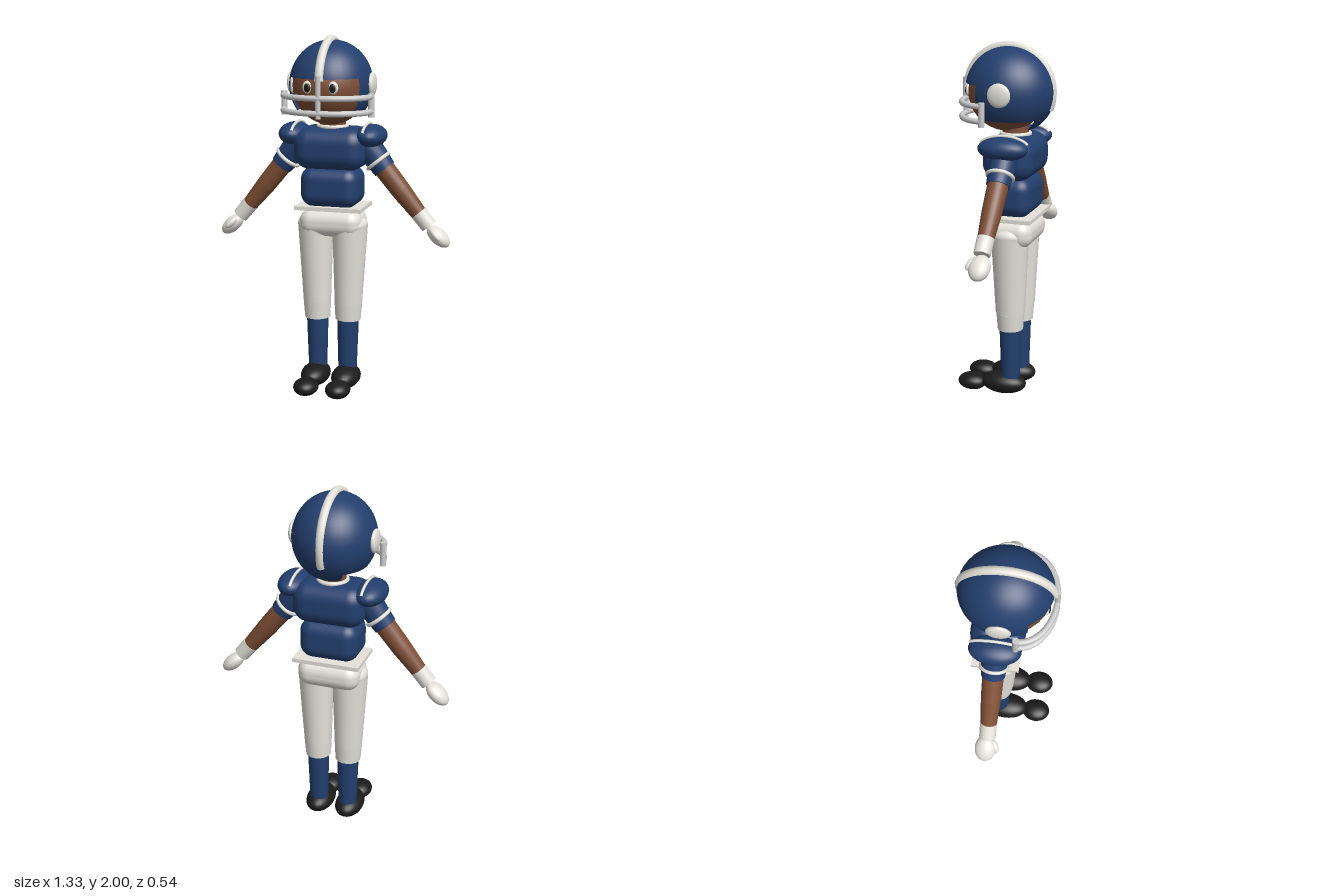
import * as THREE from 'three';
import { RoundedBoxGeometry } from 'three/addons/geometries/RoundedBoxGeometry.js';

const paint = (color, side = THREE.FrontSide) => new THREE.MeshStandardMaterial({ color, side });
const V = (x, y, z) => new THREE.Vector3(x, y, z);

export function createModel() {
  const model = new THREE.Group();
  const blue = paint(0x233f6e), shell = paint(0x233f6e, THREE.DoubleSide), skin = paint(0x7d4e35);
  const white = paint(0xe4e2da), black = paint(0x1b1b1b), grey = paint(0xcccccc);
  const Z = -0.04; // depth of the body axis

  const add = (name, geometry, material, x = 0, y = 0, z = 0, parent = model) => {
    const mesh = new THREE.Mesh(geometry, material);
    mesh.name = name;
    mesh.position.set(x, y, z);
    parent.add(mesh);
    return mesh;
  };
  const ball = (name, material, x, y, z, rx, ry, rz, parent) =>
    add(name, new THREE.SphereGeometry(1, 28, 18).scale(rx, ry, rz), material, x, y, z, parent);
  const block = (name, material, x, y, z, w, h, d, r, parent) =>
    add(name, new RoundedBoxGeometry(w, h, d, 6, r), material, x, y, z, parent);
  // Tapered limb from point a to point b
  const limb = (name, material, a, b, ra, rb, parent) => {
    const mid = a.clone().lerp(b, 0.5);
    const mesh = add(name, new THREE.CylinderGeometry(ra, rb, a.distanceTo(b), 24), material, mid.x, mid.y, mid.z, parent);
    mesh.quaternion.setFromUnitVectors(V(0, 1, 0), a.clone().sub(b).normalize());
    return mesh;
  };
  const tube = (name, material, points, r, parent) =>
    add(name, new THREE.TubeGeometry(new THREE.CatmullRomCurve3(points), 32, r, 10), material, 0, 0, 0, parent);

  // Head and face
  ball('head', skin, 0, 1.73, 0.005, 0.208, 0.215, 0.217);
  for (const s of [-1, 1]) {
    ball('eyeWhite', white, s * 0.07, 1.735, 0.205, 0.029, 0.035, 0.014);
    ball('pupil', black, s * 0.07, 1.733, 0.216, 0.018, 0.024, 0.008);
  }
  add('neck', new THREE.CylinderGeometry(0.07, 0.075, 0.14, 24), skin, 0, 1.52, Z);
  add('collar', new THREE.TorusGeometry(0.078, 0.012, 10, 28).rotateX(Math.PI / 2), white, 0, 1.502, Z);

  // Helmet: full crown, sides with a face opening, and a nape guard
  const helmet = new THREE.Group();
  helmet.name = 'helmet';
  model.add(helmet);
  const shellPart = (name, halfGap, theta0, theta1) =>
    add(name, new THREE.SphereGeometry(1, 36, 14, Math.PI / 2 + halfGap, 2 * (Math.PI - halfGap), theta0, theta1 - theta0)
      .scale(0.229, 0.242, 0.249), shell, 0, 1.735, -0.01, helmet);
  shellPart('helmetCrown', 0, 0, 1.385);
  shellPart('helmetSides', 1.0, 1.385, 2.21);
  shellPart('napeGuard', 2.55, 2.21, 2.54);
  const stripe = add('helmetStripe', new THREE.TorusGeometry(0.242, 0.024, 10, 48, 3.4), white, 0, 1.735, -0.005, helmet);
  stripe.geometry.rotateZ(0.14).rotateY(-Math.PI / 2);
  for (const s of [-1, 1]) ball('earDisc', white, s * 0.228, 1.74, -0.02, 0.022, 0.065, 0.065, helmet);

  // Face guard
  for (const y of [1.68, 1.6]) {
    const points = [];
    for (let i = 0; i <= 12; i++) {
      const a = Math.PI * i / 12;
      points.push(V(0.245 * Math.cos(a), y, 0.07 + 0.18 * Math.sin(a)));
    }
    tube('guardBar', grey, points, 0.016, helmet);
  }
  for (const s of [-1, 1])
    add('guardPost', new THREE.CylinderGeometry(0.017, 0.017, 0.13, 14), grey, s * 0.245, 1.635, 0.07, helmet);
  add('guardCentreBar', new THREE.CylinderGeometry(0.014, 0.014, 0.225, 14), grey, 0, 1.685, 0.25, helmet);

  // Torso
  block('chest', blue, 0, 1.382, Z, 0.41, 0.235, 0.29, 0.09);
  block('abdomen', blue, 0, 1.167, Z, 0.335, 0.225, 0.255, 0.075);
  add('belt', new THREE.BoxGeometry(0.38, 0.022, 0.265), white, 0, 1.05, -0.05);
  block('hips', white, 0, 0.962, -0.052, 0.355, 0.155, 0.245, 0.07);

  for (const s of [-1, 1]) {
    // Arm
    const arm = new THREE.Group();
    arm.name = s > 0 ? 'leftArm' : 'rightArm';
    model.add(arm);
    ball('shoulderPad', blue, s * 0.22, 1.455, Z, 0.085, 0.063, 0.14, arm);
    const arc = [];
    for (let i = 0; i <= 10; i++) {
      const a = 0.4 + (Math.PI - 0.8) * i / 10;
      arc.push(V(s * 0.2, 1.455 + 0.066 * Math.sin(a), Z + 0.143 * Math.cos(a)));
    }
    tube('padStripe', white, arc, 0.008, arm);
    const P = (x, y) => V(s * x, y, Z);
    const tilt = s * 0.68; // outward lean of the arm
    limb('sleeve', blue, P(0.19, 1.41), P(0.297, 1.272), 0.078, 0.064, arm);
    add('sleeveBand', new THREE.TorusGeometry(0.07, 0.011, 10, 28).rotateX(Math.PI / 2), white, s * 0.26, 1.315, Z, arm)
      .rotation.z = tilt;
    limb('upperArm', skin, P(0.25, 1.33), P(0.39, 1.157), 0.059, 0.055, arm);
    limb('forearm', skin, P(0.39, 1.157), P(0.51, 1.012), 0.055, 0.043, arm);
    limb('gloveCuff', white, P(0.49, 1.038), P(0.55, 0.966), 0.047, 0.045, arm);
    ball('hand', white, s * 0.602, 0.91, -0.045, 0.042, 0.077, 0.058, arm).rotation.z = s * 0.85;
    const thumb = ball('thumb', white, s * 0.592, 0.926, 0.005, 0.018, 0.042, 0.022, arm);
    thumb.rotation.set(-0.5, 0, s * 0.75);

    // Leg
    const leg = new THREE.Group();
    leg.name = s > 0 ? 'leftLeg' : 'rightLeg';
    model.add(leg);
    const L = (x, y) => V(s * x, y, Z);
    ball('thighTop', white, s * 0.1, 0.95, Z, 0.1, 0.06, 0.108, leg);
    limb('thigh', white, L(0.1, 0.95), L(0.092, 0.5), 0.1, 0.078, leg).scale.z = 1.06;
    limb('knee', white, L(0.092, 0.5), L(0.09, 0.4), 0.079, 0.072, leg);
    limb('sock', blue, L(0.09, 0.41), L(0.088, 0.08), 0.062, 0.052, leg);
    ball('shoe', black, s * 0.09, 0.069, 0, 0.081, 0.062, 0.131, leg);
    ball('shoeToe', black, s * 0.093, 0.053, 0.188, 0.07, 0.048, 0.084, leg);
  }
  return model;
}
